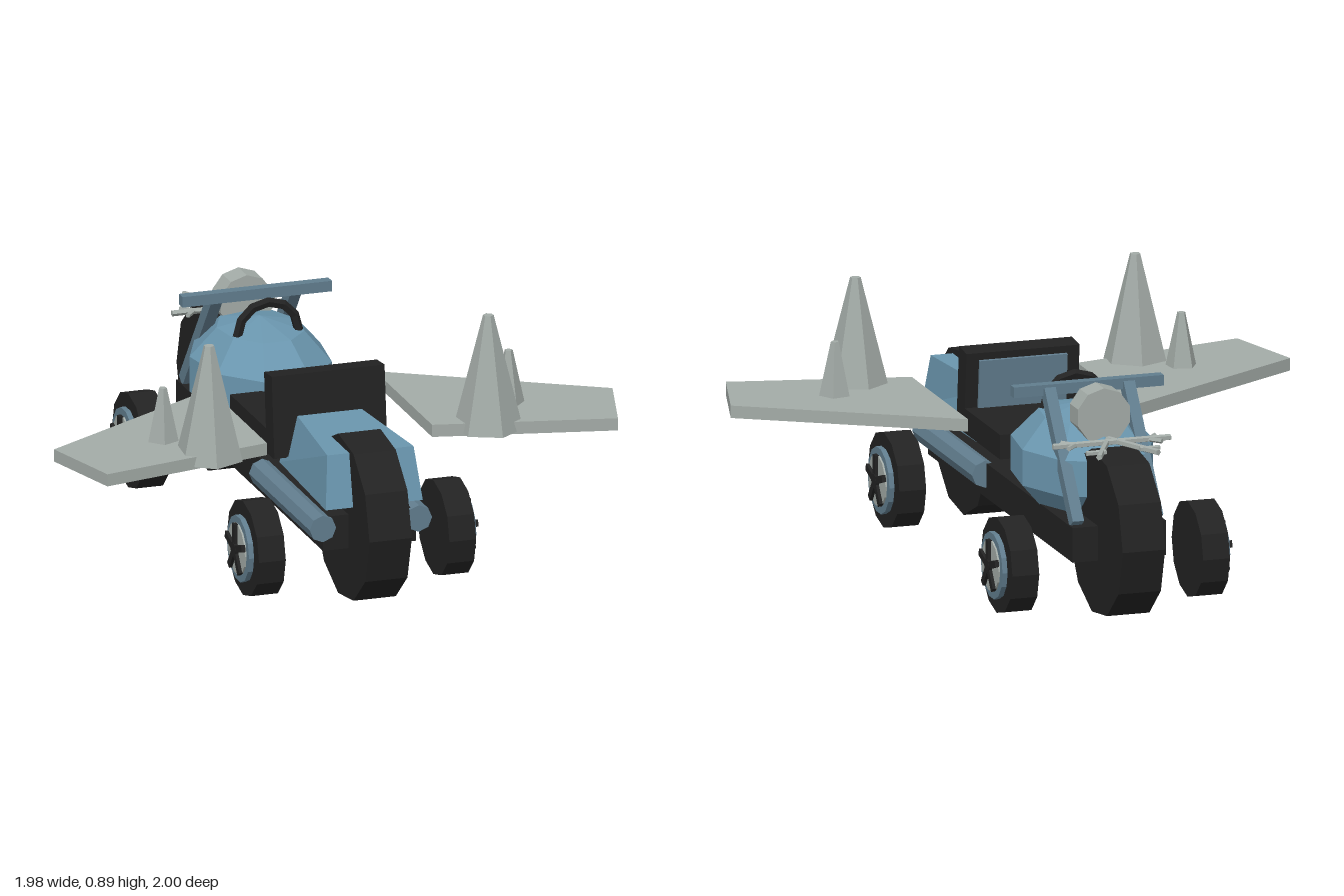
import * as THREE from 'three';

const V = (x, y, z) => new THREE.Vector3(x, y, z);

function material(name, color) {
  const m = new THREE.MeshStandardMaterial({ color });
  m.name = name;
  return m;
}

export function createModel() {
  const model = new THREE.Group();
  model.name = 'buggy';
  const black = material('rubberBlack', 0x222222);
  const blue = material('bodyBlue', 0x6a96ae);
  const slate = material('slateBlue', 0x617d8e);
  const grey = material('boneGrey', 0xa3aba7);

  // Adds a faceted mesh
  function add(name, geo, mat, x = 0, y = 0, z = 0, parent = model) {
    const g = geo.index ? geo.toNonIndexed() : geo;
    g.computeVertexNormals();
    const mesh = new THREE.Mesh(g, mat);
    mesh.name = name;
    mesh.position.set(x, y, z);
    parent.add(mesh);
    return mesh;
  }
  const box = (w, h, d) => new THREE.BoxGeometry(w, h, d);
  // Disc whose axis is x, with a vertex pointing along z
  const disc = (r, w, n) => new THREE.CylinderGeometry(r, r, w, n).rotateZ(Math.PI / 2);
  // Square or round bar between two points
  function bar(name, a, b, geoOf, mat) {
    const dir = b.clone().sub(a);
    const mid = a.clone().add(b).multiplyScalar(0.5);
    const mesh = add(name, geoOf(dir.length()), mat, mid.x, mid.y, mid.z);
    mesh.quaternion.setFromUnitVectors(V(0, 1, 0), dir.normalize());
    return mesh;
  }

  // Chassis and seat
  add('chassis', box(0.33, 0.12, 1.52), black, 0, 0.26, 0.02);
  add('seat', box(0.4, 0.085, 0.45), black, 0, 0.44, 0.145);
  const back = new THREE.Group();
  back.name = 'seatBack';
  back.position.set(0, 0.54, 0.326);
  back.rotation.x = -0.1;
  model.add(back);
  add('backrest', box(0.4, 0.28, 0.08), black, 0, 0, 0, back);
  add('backrestPanel', box(0.31, 0.17, 0.012), slate, 0, 0.03, -0.046, back);

  // Nose fairing: a box tapered to the top and to the back
  const nose = box(1, 1, 1);
  const p = nose.attributes.position;
  for (let i = 0; i < p.count; i++) {
    const top = p.getY(i) > 0, front = p.getZ(i) > 0;
    const half = top ? (front ? 0.153 : 0.108) : (front ? 0.172 : 0.155);
    p.setXYZ(i, Math.sign(p.getX(i)) * half, top ? 0.54 : 0.36, front ? (top ? 0.79 : 0.83) : 0.3);
  }
  add('noseFairing', nose, blue);

  // Faceted engine shell
  const shell = new THREE.SphereGeometry(1, 9, 5).rotateY(-Math.PI / 2).scale(0.247, 0.2, 0.32);
  add('engineShell', shell, blue, 0, 0.453, -0.355);

  // Large centre wheels
  for (const s of [-1, 1]) {
    const geo = disc(0.285, 0.15, 11);
    if (s < 0) geo.rotateY(Math.PI);
    add(s > 0 ? 'frontCentreWheel' : 'rearCentreWheel', geo, black, 0, 0.29, s * 0.715);
  }

  // Parts mirrored on both sides
  for (const s of [-1, 1]) {
    // Side wheels with five-spoke hubs
    for (const z of [-0.595, 0.595]) {
      const wheel = new THREE.Group();
      wheel.name = z > 0 ? 'frontSideWheel' : 'rearSideWheel';
      wheel.position.set(0, 0.175, z);
      model.add(wheel);
      add('tyre', disc(0.166, 0.095, 12), black, s * 0.3375, 0, 0, wheel);
      add('hubRing', disc(0.115, 0.02, 14), slate, s * 0.393, 0, 0, wheel);
      add('hubPlate', disc(0.09, 0.008, 14), grey, s * 0.405, 0, 0, wheel);
      for (let i = 0; i < 5; i++) {
        const spoke = box(0.014, 0.09, 0.024).translate(0, 0.045, 0);
        add('spoke', spoke, black, s * 0.413, 0, 0, wheel).rotation.x = (i * Math.PI * 2) / 5;
      }
      add('hubCap', disc(0.026, 0.016, 8), black, s * 0.413, 0, 0, wheel);
    }

    // Side pipe and steering fork
    add('sidePipe', new THREE.CylinderGeometry(0.047, 0.047, 0.63, 8).rotateX(Math.PI / 2),
      slate, s * 0.17, 0.283, 0.48);
    bar('forkLeg', V(s * 0.14, 0.715, -0.41), V(s * 0.14, 0.325, -0.71),
      (l) => box(0.04, l, 0.045), slate);

    // Wing plate, drawn flat and laid down
    const outline = [[0.293, -0.02], [0.293, 0.573], [0.905, 0.71], [0.99, 0.405]];
    const shape = new THREE.Shape(outline.map(([x, z]) => new THREE.Vector2(s * x, z)));
    const wing = new THREE.ExtrudeGeometry(shape, { depth: 0.043, bevelEnabled: false });
    add('wing', wing.rotateX(Math.PI / 2), grey, 0, 0.53, 0);

    // Spikes on the wing
    add('largeSpike', new THREE.CylinderGeometry(0.018, 0.118, 0.4, 6).rotateY(s * 0.1),
      grey, s * 0.495, 0.695, 0.565);
    add('smallSpike', new THREE.CylinderGeometry(0.014, 0.065, 0.235, 5).rotateY(s * 0.2),
      grey, s * 0.613, 0.5975, 0.43);

    // Antler branches
    const twig = (a, b, r = 0.011) =>
      bar('antlerBranch', V(s * a[0], a[1], a[2]), V(s * b[0], b[1], b[2]),
        (l) => new THREE.CylinderGeometry(r, r, l, 5), grey);
    twig([0, 0.585, -0.66], [0.208, 0.585, -0.66]);
    twig([0, 0.585, -0.62], [0.105, 0.585, -0.84]);
    twig([0.06, 0.585, -0.78], [0.13, 0.585, -0.78], 0.009);
    twig([0.13, 0.585, -0.66], [0.165, 0.585, -0.7], 0.009);
    twig([0.13, 0.585, -0.66], [0.165, 0.585, -0.62], 0.009);
  }

  // Handlebar, grab handle and lamp
  add('handlebar', box(0.53, 0.037, 0.037), slate, 0, 0.718, -0.402);
  add('grabHandle', new THREE.TorusGeometry(0.108, 0.017, 5, 6, Math.PI), black, 0, 0.618, -0.272);
  add('lamp', new THREE.CylinderGeometry(0.096, 0.096, 0.088, 10).rotateX(Math.PI / 2),
    grey, 0, 0.655, -0.535);

  return model;
}
